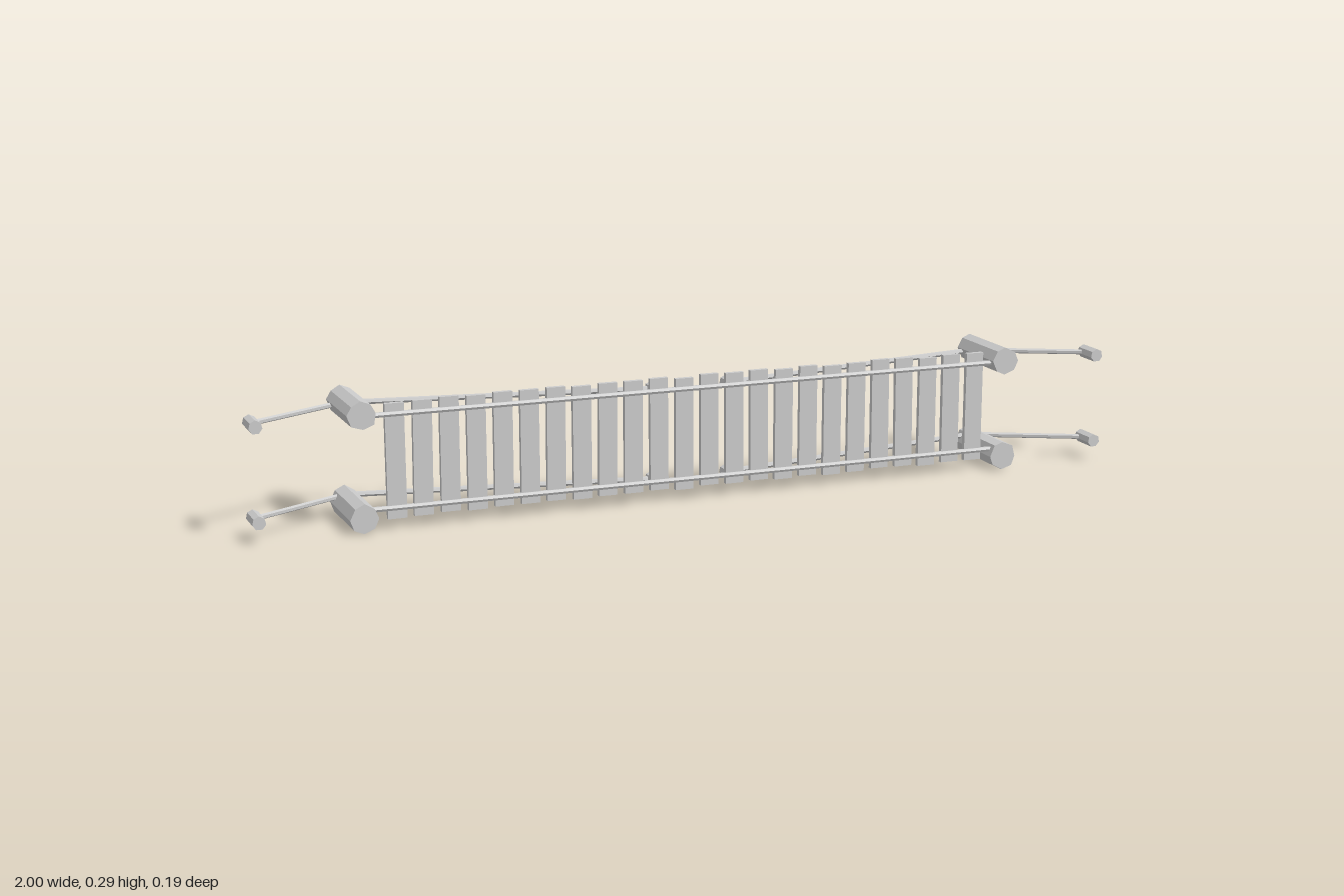
import * as THREE from 'three';

const material = new THREE.MeshStandardMaterial({ color: 0xcccccc, flatShading: true });

// small seeded random for hand-cut irregularity, -1..1
let seed = 7;
const rand = () => {
  seed = (seed * 16807) % 2147483647;
  return (seed / 2147483647) * 2 - 1;
};

function add(group, name, geometry, x = 0, y = 0, z = 0) {
  const mesh = new THREE.Mesh(geometry, material);
  mesh.name = name;
  mesh.position.set(x, y, z);
  group.add(mesh);
  return mesh;
}

// faceted log running along z, with a bevelled end towards -z
function log(group, name, x, y, zFoot, zTip, radius, sides, bevel, tipScale, wobble) {
  const profile = [[0, zFoot], [radius, zFoot], [radius, zTip + bevel], [radius * tipScale, zTip], [0, zTip]];
  const geometry = new THREE.LatheGeometry(profile.map(([r, z]) => new THREE.Vector2(r, -z)), sides);
  geometry.rotateX(-Math.PI / 2);
  // uneven facets: shift each side's angle and radius a little
  const scales = Array.from({ length: sides }, () => 1 + wobble * rand());
  const turns = scales.map(() => wobble * 2 * rand());
  const p = geometry.attributes.position;
  for (let i = 0; i < p.count; i++) {
    const side = Math.floor(i / profile.length) % sides;
    const r = Math.hypot(p.getX(i), p.getY(i)) * scales[side];
    const a = Math.atan2(p.getY(i), p.getX(i)) + turns[side];
    p.setXY(i, r * Math.cos(a), r * Math.sin(a));
  }
  geometry.computeVertexNormals();
  add(group, name, geometry, x, y, 0);
}

// straight rope between two points
function rope(group, name, a, b, radius = 0.006) {
  const from = new THREE.Vector3(...a), to = new THREE.Vector3(...b);
  const dir = to.clone().sub(from);
  const mesh = add(group, name, new THREE.CylinderGeometry(radius, radius, dir.length(), 6));
  mesh.position.copy(from).add(to).multiplyScalar(0.5);
  mesh.quaternion.setFromUnitVectors(new THREE.Vector3(0, 1, 0), dir.normalize());
}

export function createModel() {
  seed = 7;
  const model = new THREE.Group();
  model.name = 'ropeBridge';

  // walkway planks
  const planks = new THREE.Group();
  planks.name = 'planks';
  model.add(planks);
  const count = 24;
  for (let i = 0; i < count; i++) {
    const x = -0.687 + (1.363 * i) / (count - 1);
    const plank = add(planks, 'plank', new THREE.BoxGeometry(0.042, 0.25, 0.011),
      x, 0.15 + 0.003 * rand(), 0.0725);
    plank.rotation.z = 0.008 * rand();
  }

  // the two sides of the bridge
  for (const [side, postY, ropeY] of [['lower', 0.0325, 0.046], ['upper', 0.2545, 0.249]]) {
    const rail = new THREE.Group();
    rail.name = side + 'Side';
    model.add(rail);

    // rope carrying the planks
    rope(rail, 'deckRope', [-0.762, ropeY, 0.077], [0.746, ropeY, 0.077]);

    for (const [postX, anchorX, midX] of [[-0.762, -0.985, -0.099], [0.746, 0.985, 0.078]]) {
      // main post, ground anchor and short peg on the deck
      log(rail, 'post', postX, postY, 0.096, -0.095, 0.0315, 8, 0.017, 0.3, 0.06);
      log(rail, 'anchorStake', anchorX, ropeY, 0.096, 0.03, 0.015, 7, 0.005, 0.65, 0.02);
      log(rail, 'deckPeg', midX, ropeY, 0.072, 0.03, 0.014, 7, 0.005, 0.65, 0.02);

      // hand rope from the anchor over the post to the peg
      rope(rail, 'anchorRope', [anchorX, ropeY, 0.053], [postX, ropeY, -0.067]);
      rope(rail, 'handRope', [postX, ropeY, -0.067], [midX, ropeY, 0.048]);
    }
  }
  return model;
}
